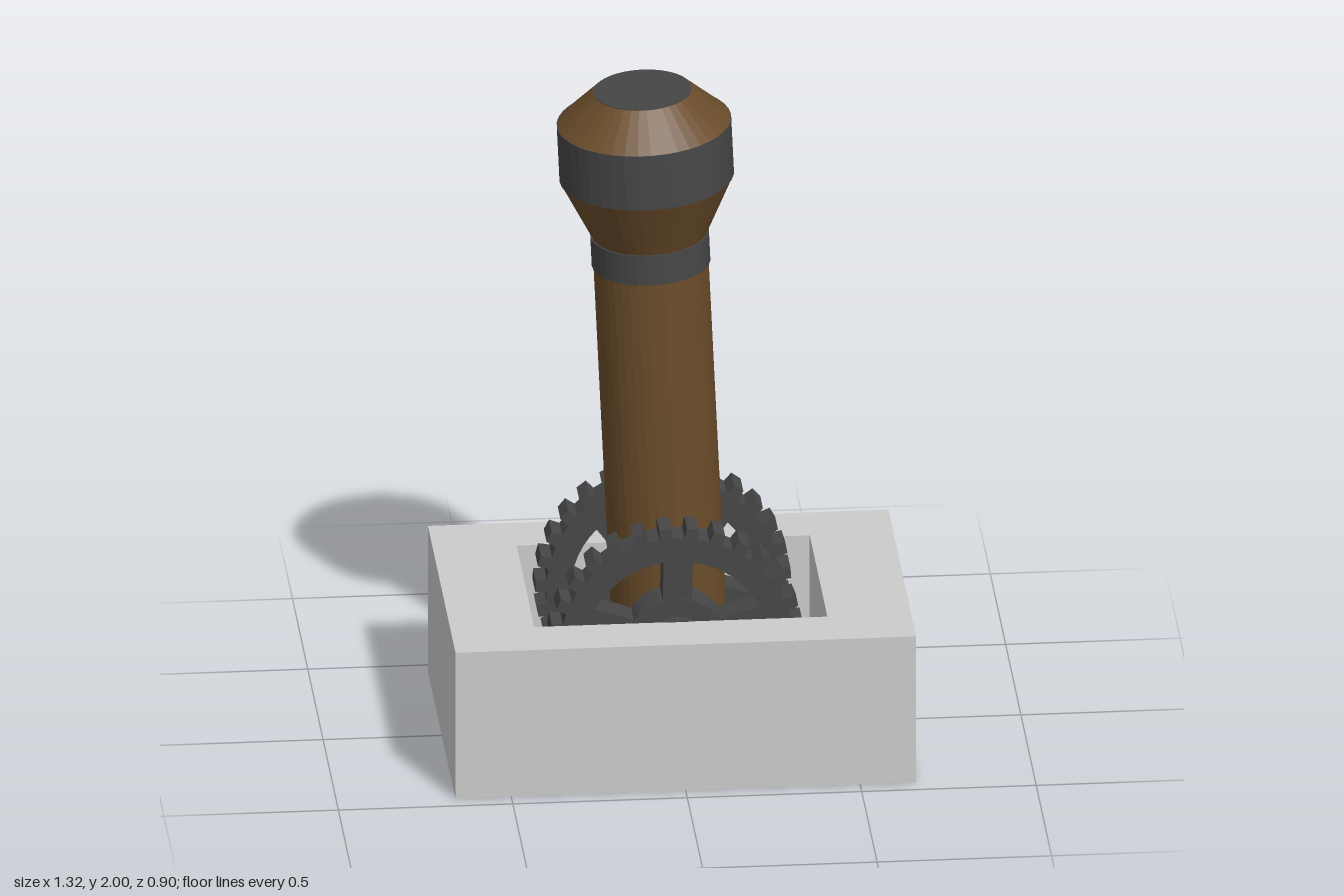
import * as THREE from 'three';

const paint = (color, flatShading = true) => new THREE.MeshStandardMaterial({ color, flatShading });

function add(parent, name, geometry, material, x = 0, y = 0, z = 0) {
  const mesh = new THREE.Mesh(geometry, material);
  mesh.name = name;
  mesh.position.set(x, y, z);
  parent.add(mesh);
  return mesh;
}

const polar = (r, a) => new THREE.Vector2(r * Math.cos(a), r * Math.sin(a));

// Toothed wheel with five spokes, centred on its own axis
function gearGeometry(depth) {
  const teeth = 29, root = 0.335, tip = 0.367, step = (2 * Math.PI) / teeth;
  const outline = [];
  for (let i = 0; i < teeth; i++) {
    const a = -Math.PI / 2 + i * step;
    outline.push(
      polar(root, a - step * 0.27), polar(tip, a - step * 0.21),
      polar(tip, a + step * 0.21), polar(root, a + step * 0.27));
  }
  const shape = new THREE.Shape(outline);

  // Windows between the spokes
  const spokes = 5, half = 0.042, inner = 0.15, outer = 0.265, n = 8;
  for (let i = 0; i < spokes; i++) {
    const a0 = Math.PI / 2 + (i * 2 * Math.PI) / spokes;
    const a1 = a0 + (2 * Math.PI) / spokes;
    const window = [];
    for (const [r, flip] of [[outer, false], [inner, true]]) {
      const gap = Math.asin(half / r);
      for (let k = 0; k <= n; k++) {
        const t = flip ? 1 - k / n : k / n;
        window.push(polar(r, THREE.MathUtils.lerp(a0 + gap, a1 - gap, t)));
      }
    }
    shape.holes.push(new THREE.Path(window));
  }
  return new THREE.ExtrudeGeometry(shape, { depth, bevelEnabled: false })
    .translate(0, 0, -depth / 2);
}

export function createModel() {
  const model = new THREE.Group();
  const grey = paint(0xcccccc), dark = paint(0x464646), wood = paint(0x6a4c2a);

  // Base block with a rectangular pocket
  const W = 0.66, D = 0.45, H = 0.455, floor = 0.03;
  const rect = (w, d) => [[-w, -d], [w, -d], [w, d], [-w, d]].map(p => new THREE.Vector2(...p));
  const frame = new THREE.Shape(rect(W, D));
  frame.holes.push(new THREE.Path(rect(0.42, 0.288)));
  const base = new THREE.Group();
  base.name = 'base';
  model.add(base);
  add(base, 'baseWalls',
    new THREE.ExtrudeGeometry(frame, { depth: H, bevelEnabled: false })
      .rotateX(-Math.PI / 2), grey);
  add(base, 'baseFloor', new THREE.BoxGeometry(0.84, floor, 0.576), grey, 0, floor / 2, 0);

  // Everything turns about the pivot
  const pivot = new THREE.Group();
  pivot.name = 'pivot';
  pivot.position.set(-0.01, 0.366, 0);
  model.add(pivot);

  // Gear wheels with hubs, one on each side of the handle
  const gear = gearGeometry(0.09);
  for (const side of [1, -1]) {
    const wheel = new THREE.Group();
    wheel.name = side > 0 ? 'frontGear' : 'backGear';
    pivot.add(wheel);
    const mesh = add(wheel, 'gearWheel', gear, dark, 0, 0, side * 0.215);
    mesh.rotation.z = side > 0 ? -0.02 : Math.PI + 0.02;
    const disc = (name, r, length, z) => add(wheel, name,
      new THREE.CylinderGeometry(r, r, length, 32).rotateX(Math.PI / 2), dark, 0, 0, side * z);
    disc('hubDisc', 0.15, 0.102, 0.213);
    disc('hubCap', 0.095, 0.04, 0.27);
  }
  add(pivot, 'axle', new THREE.CylinderGeometry(0.08, 0.08, 0.4, 24).rotateX(Math.PI / 2), dark);

  // Leaning handle, stacked from tapered sections: name, bottom radius, top radius, from, to
  const handle = new THREE.Group();
  handle.name = 'handle';
  handle.rotation.z = 0.046;
  pivot.add(handle);
  const sections = [
    ['shaft', 0.165, 0.165, -0.2, 1.091, wood],
    ['lowerBand', 0.17, 0.17, 1.091, 1.183, dark],
    ['flare', 0.165, 0.248, 1.183, 1.361, wood],
    ['upperBand', 0.25, 0.25, 1.361, 1.53, dark],
    ['shoulder', 0.248, 0.143, 1.53, 1.626, wood],
    ['topCap', 0.141, 0.141, 1.6, 1.628, dark],
  ];
  for (const [name, r0, r1, y0, y1, material] of sections) {
    add(handle, name, new THREE.CylinderGeometry(r1, r0, y1 - y0, 40), material, 0, (y0 + y1) / 2, 0);
  }
  return model;
}
